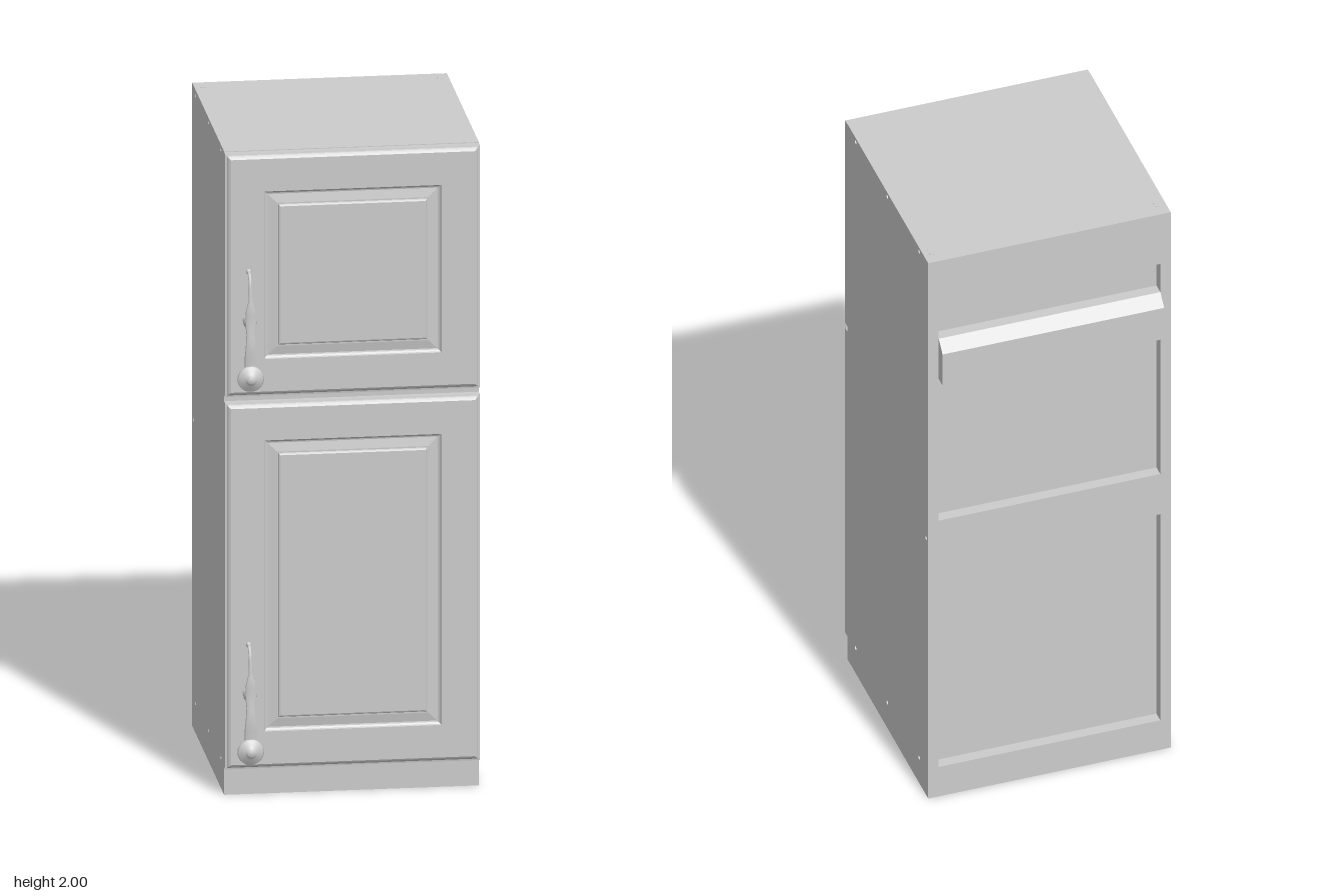
import * as THREE from 'three';

const grey = new THREE.MeshStandardMaterial({ color: 0xcccccc });
const greyDouble = new THREE.MeshStandardMaterial({ color: 0xcccccc, side: THREE.DoubleSide });
const W = 0.383, INNER = 0.35, FRONT = 0.33, BACK = -0.4, RECESS = -0.365;

function add(parent, name, geometry, material = grey) {
  const mesh = new THREE.Mesh(geometry, material);
  mesh.name = name;
  parent.add(mesh);
  return mesh;
}

// Box given by its minimum and maximum corners
function block(parent, name, [x0, y0, z0], [x1, y1, z1]) {
  const g = new THREE.BoxGeometry(x1 - x0, y1 - y0, z1 - z0);
  g.translate((x0 + x1) / 2, (y0 + y1) / 2, (z0 + z1) / 2);
  return add(parent, name, g);
}

// Extrude a (z, y) outline along x, ending at xMax
function extrudeX(shape, depth, xMax) {
  const g = new THREE.ExtrudeGeometry(shape, { depth, bevelEnabled: false, curveSegments: 10 });
  return g.rotateY(-Math.PI / 2).translate(xMax, 0, 0);
}

const outline = (points) => new THREE.Shape(points.map(([z, y]) => new THREE.Vector2(z, y)));

// Side panel with its drilled fastener holes
function sidePanel() {
  const s = outline([[BACK, 0], [FRONT, 0], [FRONT, 2], [BACK, 2]]);
  const holes = [[-0.38, 0.96]];
  for (const z of [0.257, -0.03, -0.317]) for (const y of [0.095, 1.985]) holes.push([z, y]);
  for (const [z, y] of holes) s.holes.push(new THREE.Path().absarc(z, y, 0.007, 0, Math.PI * 2, true));
  return s;
}

// Door relief: [inset from the edge, z] steps, from the back edge to the raised centre
const RELIEF = [
  [0, FRONT], [0, 0.351], [0.005, 0.352], [0.007, 0.356], [0.011, 0.36], [0.016, 0.363],
  [0.117, 0.363], [0.119, 0.357], [0.124, 0.353], [0.128, 0.352],
  [0.155, 0.357], [0.159, 0.357], [0.161, 0.361], [0.165, 0.363],
];

function doorGeometry(y0, y1) {
  const ring = ([d, z]) => [[-W + d, y0 + d, z], [W - d, y0 + d, z], [W - d, y1 - d, z], [-W + d, y1 - d, z]];
  const pos = [];
  const quad = (a, b, c, d) => pos.push(...a, ...b, ...c, ...a, ...c, ...d);
  for (let i = 0; i < RELIEF.length - 1; i++) {
    const a = ring(RELIEF[i]), b = ring(RELIEF[i + 1]);
    for (let k = 0; k < 4; k++) quad(a[k], a[(k + 1) % 4], b[(k + 1) % 4], b[k]);
  }
  quad(...ring(RELIEF[RELIEF.length - 1]));
  const g = new THREE.BufferGeometry();
  g.setAttribute('position', new THREE.Float32BufferAttribute(pos, 3));
  g.computeVertexNormals();
  return g;
}

// Lathe whose axis points out of the door; points are [radius, z]
function turned(points, y) {
  const g = new THREE.LatheGeometry(points.map(([r, z]) => new THREE.Vector2(r, z)), 28);
  return g.rotateX(Math.PI / 2).translate(0, y, 0);
}

// Latch handle, with its origin on the door face at the knob's centre
function latchHandle() {
  const group = new THREE.Group();
  add(group, 'knob', turned([
    [0.02, 0], [0.02, 0.005], [0.011, 0.009], [0.011, 0.03], [0.018, 0.036], [0.022, 0.042],
    [0.036, 0.046], [0.04, 0.05], [0.037, 0.054], [0.028, 0.057], [0.025, 0.061],
    [0.017, 0.063], [0.015, 0.067], [0.009, 0.071], [0, 0.072],
  ], 0), greyDouble);
  add(group, 'post', turned([
    [0.018, 0], [0.018, 0.004], [0.01, 0.008], [0.009, 0.02], [0.016, 0.026],
    [0.02, 0.03], [0.016, 0.036], [0.01, 0.046], [0, 0.05],
  ], 0.17), greyDouble);

  // Curved strap: a tube widened along its length
  const path = new THREE.CatmullRomCurve3([
    [0.32, 0], [0.317, 0.018], [0.295, 0.034], [0.23, 0.045], [0.17, 0.046], [0.1, 0.05], [0.04, 0.047], [0, 0.046],
  ].map(([y, z]) => new THREE.Vector3(0, y, z)));
  const strap = new THREE.TubeGeometry(path, 60, 0.005, 10);
  const p = strap.attributes.position, uv = strap.attributes.uv;
  const widths = [1, 1, 1, 1.3, 3, 3.2, 2.6, 3, 3.6, 3.6, 3];
  for (let i = 0; i < p.count; i++) {
    const t = uv.getX(i) * (widths.length - 1), k = Math.min(Math.floor(t), widths.length - 2);
    p.setX(i, p.getX(i) * THREE.MathUtils.lerp(widths[k], widths[k + 1], t - k));
  }
  strap.computeVertexNormals();
  add(group, 'strap', strap, greyDouble);

  // Small foot where the strap's tip meets the door
  add(group, 'strapFoot', new THREE.SphereGeometry(0.008, 12, 8).translate(0, 0.32, 0.003));
  return group;
}

export function createModel() {
  const model = new THREE.Group();
  model.name = 'cabinet';

  // Carcass
  add(model, 'rightSidePanel', extrudeX(sidePanel(), W - INNER, -INNER));
  add(model, 'leftSidePanel', extrudeX(sidePanel(), W - INNER, W));
  block(model, 'body', [-INNER, 0, RECESS], [INNER, 2, FRONT]);

  // Rails framing the two recesses in the back
  for (const [name, y0, y1] of [['bottomBackRail', 0, 0.11], ['middleBackRail', 0.88, 1.03], ['topBackRail', 1.815, 2]])
    block(model, name, [-INNER, y0, BACK], [INNER, y1, RECESS]);

  // Bevelled hanging cleat
  const cleat = outline([[-0.435, 1.56], [RECESS, 1.56], [RECESS, 1.71], [BACK, 1.71], [-0.435, 1.676]]);
  add(model, 'hangingCleat', extrudeX(cleat, INNER * 2, INNER));

  // Fastener plates on the top
  for (const x of [-0.356, 0.356])
    block(model, 'topFastener', [x - 0.008, 1.99, -0.361], [x + 0.008, 2.001, -0.341]);

  // Doors, each with a latch handle
  for (const [name, y0, y1, knobY] of [['upperDoor', 1.243, 1.998, 1.315], ['lowerDoor', 0.085, 1.224, 0.155]]) {
    const door = new THREE.Group();
    door.name = name;
    add(door, name + 'Panel', doorGeometry(y0, y1), greyDouble);
    const handle = latchHandle();
    handle.name = name + 'Handle';
    handle.position.set(-0.314, knobY, 0.363);
    door.add(handle);
    model.add(door);
  }
  return model;
}
